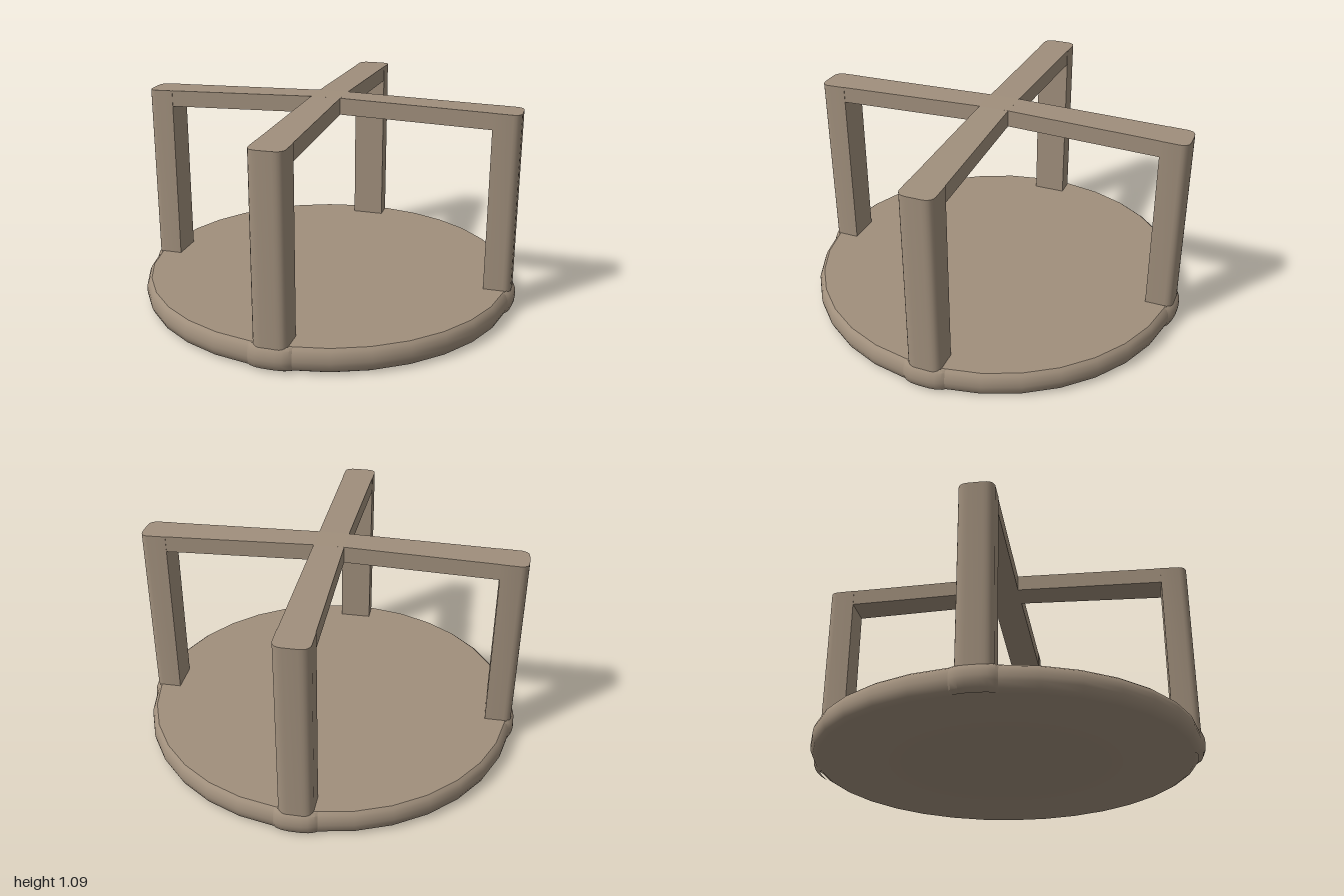
import * as THREE from 'three';
import { toCreasedNormals } from 'three/addons/utils/BufferGeometryUtils.js';

const SIDES = 32;
const PLATE = 0.13;
const TILT = THREE.MathUtils.degToRad(-16.5);
// the cross rises gently from the posts to the centre
const topY = (r) => 1.095 - 0.026 * r;

const RIM = [[0.96, 0], [0.985, 0.015], [0.998, 0.045], [1, 0.065],
  [0.998, 0.09], [0.987, 0.118], [0.972, PLATE]].map(([x, y]) => new THREE.Vector2(x, y));

// move every vertex of a geometry by a rule
function reshape(geometry, rule) {
  const pos = geometry.attributes.position;
  const v = new THREE.Vector3();
  for (let i = 0; i < pos.count; i++) {
    v.fromBufferAttribute(pos, i);
    rule(v);
    pos.setXYZ(i, v.x, v.y, v.z);
  }
  return toCreasedNormals(geometry, 0.65);
}

// upright post: straight inside, rounded outside, top following the slope of the arm
function postGeometry() {
  const w = 0.088;
  const s = new THREE.Shape();
  s.moveTo(-w, -0.86);
  s.lineTo(w, -0.86);
  s.lineTo(w, -0.96);
  s.quadraticCurveTo(w - 0.005, -1, 0.035, -1);
  s.lineTo(-0.035, -1);
  s.quadraticCurveTo(-w + 0.005, -1, -w, -0.96);
  s.closePath();
  const g = new THREE.ExtrudeGeometry(s, { depth: 1, bevelEnabled: false, curveSegments: 5 });
  g.rotateX(-Math.PI / 2);
  return reshape(g, (v) => { v.y = v.y > 0.5 ? topY(v.z) : 0.07; });
}

// arm: slightly narrower and higher towards the centre
function armGeometry() {
  const g = new THREE.BoxGeometry(1, 1, 1);
  return reshape(g, (v) => {
    const outer = v.z > 0;
    const r = outer ? 0.87 : 0.075;
    v.x *= outer ? 0.172 : 0.156;
    v.y = topY(r) - (v.y > 0 ? 0 : 0.086);
    v.z = r;
  });
}

// slight swelling of the plate rim at the foot of a post
function footGeometry() {
  const half = 0.13;
  const g = new THREE.LatheGeometry(RIM, 8, -half, 2 * half);
  return reshape(g, (v) => {
    const u = Math.atan2(v.x, v.z) / half;
    const k = 0.985 + 0.033 * (1 - u ** 4);
    v.x *= k;
    v.z *= k;
  });
}

export function createModel() {
  const model = new THREE.Group();
  model.name = 'crossTopStand';
  const material = new THREE.MeshStandardMaterial({ color: 0xa08f7c });
  const add = (parent, name, geometry) => {
    const mesh = new THREE.Mesh(geometry, material);
    mesh.name = name;
    parent.add(mesh);
    return mesh;
  };

  // round base plate
  const profile = [new THREE.Vector2(0, 0), ...RIM, new THREE.Vector2(0, PLATE)];
  add(model, 'basePlate', toCreasedNormals(new THREE.LatheGeometry(profile, SIDES), 0.65));

  // four posts with their arms
  const post = postGeometry();
  const arm = armGeometry();
  const foot = footGeometry();
  for (let i = 0; i < 4; i++) {
    const support = new THREE.Group();
    support.name = `support${i + 1}`;
    support.rotation.y = TILT + i * Math.PI / 2;
    add(support, 'post', post);
    add(support, 'arm', arm);
    add(support, 'foot', foot);
    model.add(support);
  }

  // centre of the cross
  const hub = add(model, 'hub', new THREE.BoxGeometry(0.156, 0.086, 0.156));
  hub.position.y = topY(0.075) - 0.043;
  hub.rotation.y = TILT;
  return model;
}
